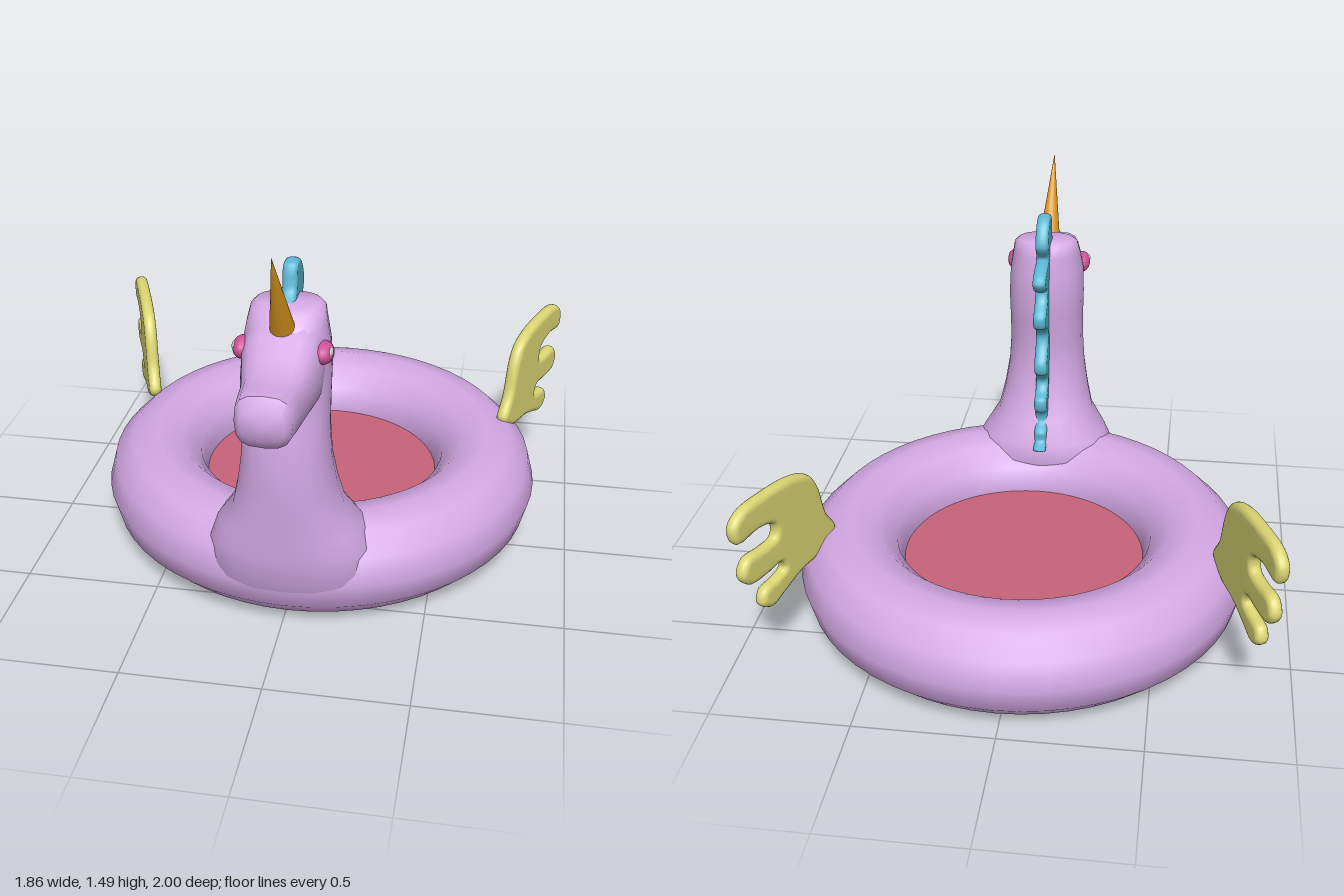
import * as THREE from 'three';
import { mergeVertices, toCreasedNormals } from 'three/addons/utils/BufferGeometryUtils.js';

const CX = 0.015; // shared centre line of ring, neck and head
const mat = (color) => new THREE.MeshStandardMaterial({ color, roughness: 0.7 });

function part(name, geometry, material, parent) {
  const mesh = new THREE.Mesh(geometry, material);
  mesh.name = name;
  parent.add(mesh);
  return mesh;
}

// Skin closed rings of points; each ring is an array of [x, y, z]
function loft(rings) {
  const n = rings[0].length;
  const index = [];
  for (let r = 0; r < rings.length - 1; r++) {
    for (let i = 0; i < n; i++) {
      const j = (i + 1) % n;
      const a = r * n + i, b = r * n + j, c = a + n, d = b + n;
      index.push(a, c, b, b, c, d);
    }
  }
  const g = new THREE.BufferGeometry();
  g.setAttribute('position', new THREE.Float32BufferAttribute(rings.flat(2), 3));
  g.setIndex(index);
  return toCreasedNormals(g, 1.0);
}

// Rounded-square outline point pairs in the range -1..1
function outline(sides, power) {
  const bulge = (v) => Math.sign(v) * Math.abs(v) ** (2 / power);
  return Array.from({ length: sides }, (_, i) => {
    const a = (i / sides) * Math.PI * 2;
    return [bulge(Math.cos(a)), bulge(Math.sin(a))];
  });
}

// Puffy flat shape: smooth closed outline extruded with a round rim
function puffy(points, thickness, rim, samples) {
  const curve = new THREE.CatmullRomCurve3(
    points.map(([x, y]) => new THREE.Vector3(x, y, 0)), true, 'centripetal');
  const shape = new THREE.Shape(curve.getPoints(samples).slice(0, -1).map((p) => new THREE.Vector2(p.x, p.y)));
  const bevel = thickness * 0.42;
  const depth = thickness - 2 * bevel;
  let g = new THREE.ExtrudeGeometry(shape, {
    depth, bevelThickness: bevel, bevelSize: rim, bevelOffset: -rim, bevelSegments: 4,
  });
  g.translate(0, 0, -depth / 2);
  g.deleteAttribute('uv');
  g.deleteAttribute('normal');
  g = mergeVertices(g, 1e-4);
  g.computeVertexNormals();
  return g;
}

export function createModel() {
  const group = new THREE.Group();
  const lilac = mat(0xd4a8e4);
  const yellow = mat(0xdbd673);
  const pink = mat(0xd0559a);

  // Inflated ring and its floor
  const ring = part('ring', new THREE.TorusGeometry(0.65, 0.195, 12, 56), lilac, group);
  ring.rotation.x = -Math.PI / 2;
  ring.position.set(CX, 0.195, -0.155);
  const floor = part('floor', new THREE.CylinderGeometry(0.465, 0.465, 0.008, 48), mat(0xc9637a), group);
  floor.position.set(CX, 0.195, -0.155);

  // Neck and skull: [height, back z, front z, half width]
  const neckRows = [
    [0.09, 0.45, 0.64, 0.22],
    [0.2, 0.36, 0.70, 0.30],
    [0.32, 0.33, 0.715, 0.29],
    [0.39, 0.34, 0.72, 0.255],
    [0.48, 0.385, 0.728, 0.195],
    [0.58, 0.415, 0.735, 0.172],
    [0.68, 0.44, 0.737, 0.156],
    [0.8, 0.442, 0.73, 0.148],
    [0.9, 0.43, 0.71, 0.148],
    [1.0, 0.418, 0.71, 0.15],
    [1.1, 0.425, 0.71, 0.146],
    [1.17, 0.435, 0.675, 0.133],
    [1.21, 0.442, 0.63, 0.125],
    [1.226, 0.455, 0.605, 0.108],
    [1.228, 0.53, 0.53, 0],
  ];
  const neckOutline = outline(20, 2.3);
  part('neckAndHead', loft(neckRows.map(([y, back, front, w]) =>
    neckOutline.map(([u, v]) => [CX + w * u, y, (back + front) / 2 + ((front - back) / 2) * v]))), lilac, group);

  // Muzzle, nose to skull: [z, bottom, top, half width]
  const muzzleRows = [
    [1.0, 1.0, 1.0, 0],
    [0.995, 0.955, 1.05, 0.072],
    [0.97, 0.917, 1.097, 0.092],
    [0.9, 0.908, 1.096, 0.1],
    [0.82, 0.9, 1.092, 0.107],
    [0.76, 0.894, 1.122, 0.117],
    [0.69, 0.888, 1.163, 0.132],
    [0.62, 0.885, 1.205, 0.138],
    [0.54, 0.9, 1.205, 0.125],
    [0.53, 1.05, 1.05, 0],
  ];
  const muzzleOutline = outline(16, 3);
  part('muzzle', loft(muzzleRows.map(([z, low, high, w]) =>
    muzzleOutline.map(([u, v]) => [CX + w * u, (low + high) / 2 + ((high - low) / 2) * v, z]))), lilac, group);

  // Horn leaning forward
  const foot = new THREE.Vector3(CX, 1.17, 0.645);
  const tip = new THREE.Vector3(CX, 1.485, 0.812);
  const horn = part('horn', new THREE.ConeGeometry(0.043, foot.distanceTo(tip), 20), mat(0xd8951f), group);
  horn.position.copy(foot).lerp(tip, 0.5);
  horn.quaternion.setFromUnitVectors(new THREE.Vector3(0, 1, 0), tip.clone().sub(foot).normalize());

  // Scalloped mane, outline as [z, y]
  const maneOutline = [
    [0.58, 1.21], [0.53, 1.25], [0.505, 1.335], [0.43, 1.335], [0.37, 1.24], [0.41, 1.18],
    [0.36, 1.17], [0.285, 1.125], [0.315, 1.08], [0.375, 1.06], [0.36, 1.02],
    [0.31, 0.975], [0.315, 0.925], [0.36, 0.905], [0.4, 0.86], [0.385, 0.81],
    [0.345, 0.76], [0.345, 0.715], [0.38, 0.69], [0.405, 0.655], [0.385, 0.62],
    [0.345, 0.6], [0.345, 0.55], [0.38, 0.52], [0.385, 0.48], [0.345, 0.45],
    [0.345, 0.41], [0.3, 0.385], [0.4, 0.38], [0.45, 0.6], [0.47, 0.85], [0.46, 1.15],
  ];
  const mane = part('mane', puffy(maneOutline, 0.05, 0.013, 128), mat(0x5bb8d4), group);
  mane.rotation.y = -Math.PI / 2;
  mane.position.x = CX;

  // Feathered wing, outline as [distance behind root, height]
  const wingOutline = [
    [-0.02, 0.37], [0.03, 0.46], [0.065, 0.59], [0.11, 0.655], [0.2, 0.69], [0.33, 0.702],
    [0.47, 0.695], [0.525, 0.65], [0.51, 0.585], [0.4, 0.588], [0.315, 0.56], [0.315, 0.51],
    [0.38, 0.502], [0.47, 0.503], [0.505, 0.45], [0.47, 0.4], [0.38, 0.392], [0.3, 0.395],
    [0.285, 0.36], [0.34, 0.345], [0.4, 0.335], [0.42, 0.285], [0.37, 0.248], [0.29, 0.27],
    [0.19, 0.3], [0.08, 0.31],
  ];
  const wingGeometry = puffy(wingOutline, 0.05, 0.022, 110);

  for (const [side, s] of [['left', 1], ['right', -1]]) {
    const wing = part(side + 'Wing', wingGeometry, yellow, group);
    wing.position.set(0.723 * s, 0, -0.345);
    wing.rotation.y = s > 0 ? 1.2 : Math.PI - 1.2;

    // Eye with a pale glint
    const eye = part(side + 'Eye', new THREE.SphereGeometry(1, 20, 14), pink, group);
    eye.scale.set(0.034, 0.038, 0.056);
    eye.position.set(CX + 0.133 * s, 1.094, 0.635);
    eye.rotation.x = -0.12;
    const glint = part(side + 'EyeGlint', new THREE.SphereGeometry(1, 14, 10), mat(0xcccccc), group);
    glint.scale.set(0.012, 0.016, 0.022);
    glint.position.set(CX + 0.155 * s, 1.104, 0.65);
  }
  return group;
}
